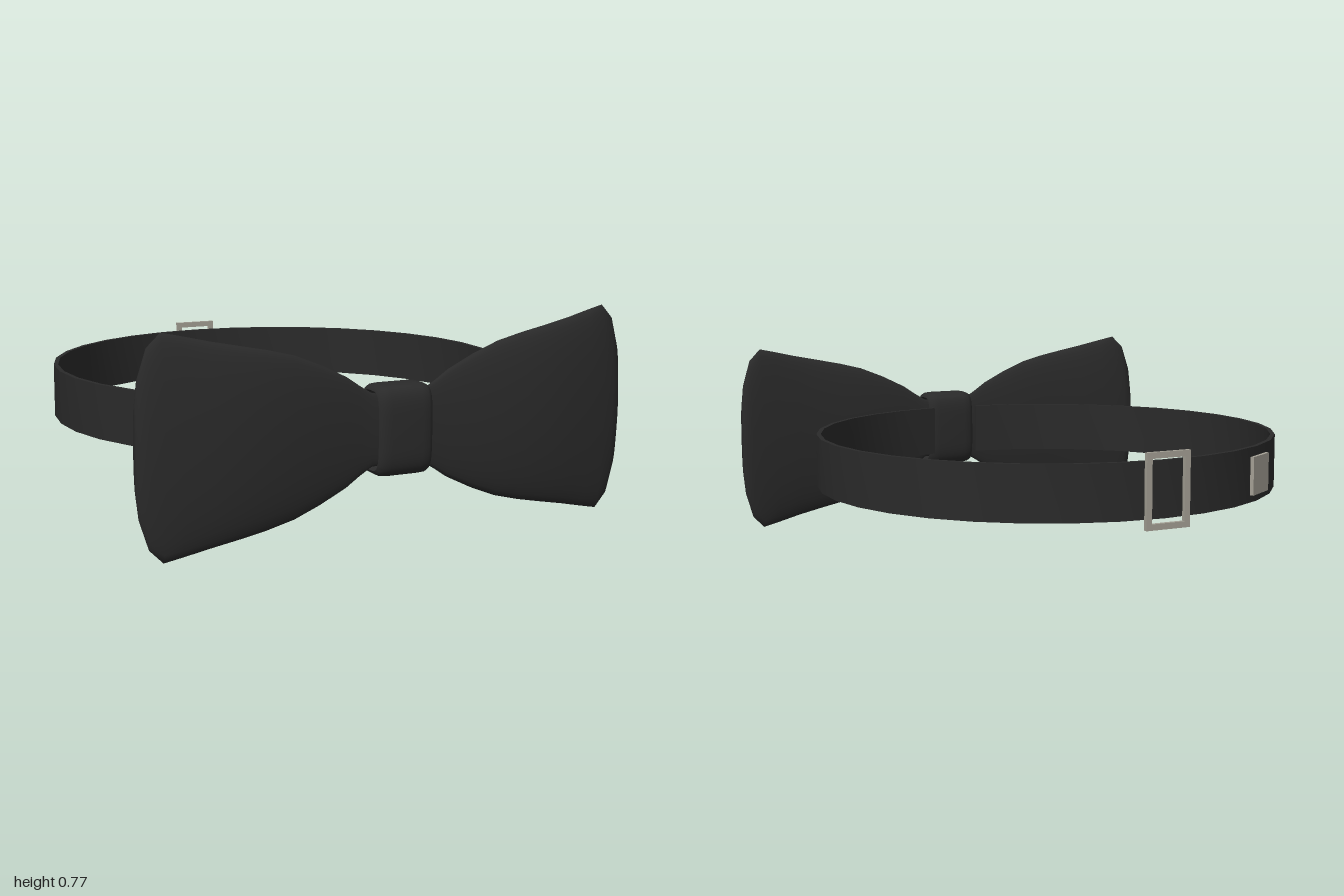
import * as THREE from 'three';
import { toCreasedNormals } from 'three/addons/utils/BufferGeometryUtils.js';

const MID_Y = 0.386;

// Skin closed rings of points; either cap both ends or join last ring to first
function loft(rings, closed) {
  const n = rings[0].length, m = rings.length;
  const points = rings.flat(), index = [];
  for (let i = 0; i < (closed ? m : m - 1); i++) {
    for (let j = 0; j < n; j++) {
      const a = i * n + j, b = i * n + (j + 1) % n;
      const c = ((i + 1) % m) * n + j, d = ((i + 1) % m) * n + (j + 1) % n;
      index.push(a, b, c, b, d, c);
    }
  }
  if (!closed) {
    const last = (m - 1) * n;
    for (let j = 1; j < n - 1; j++) {
      index.push(0, j + 1, j, last, last + j, last + j + 1);
    }
  }
  const g = new THREE.BufferGeometry().setFromPoints(points);
  g.setIndex(index);
  return toCreasedNormals(g, 0.9);
}

// Superellipse ring in the YZ plane at a given x
function ring(x, z, halfY, halfZ, power, count) {
  const pts = [];
  for (let j = 0; j < count; j++) {
    const a = (j / count) * Math.PI * 2, c = Math.cos(a), s = Math.sin(a);
    pts.push(new THREE.Vector3(
      x,
      MID_Y + halfY * Math.sign(c) * Math.abs(c) ** (2 / power),
      z + halfZ * Math.sign(s) * Math.abs(s) ** (2 / power)));
  }
  return pts;
}

export function createModel() {
  const model = new THREE.Group();
  model.name = 'bowTie';
  const fabric = new THREE.MeshStandardMaterial({ color: 0x2a2a2a });
  fabric.name = 'black fabric';
  const metal = new THREE.MeshStandardMaterial({ color: 0xa39f94 });
  metal.name = 'grey metal';

  const add = (name, geometry, material) => {
    const mesh = new THREE.Mesh(geometry, material);
    mesh.name = name;
    model.add(mesh);
    return mesh;
  };

  // Bow: x, half height, centre z, half thickness; mirrored for the other wing
  const wing = [
    [0, 0.122, 0.919, 0.013], [0.1, 0.13, 0.919, 0.014], [0.15, 0.16, 0.92, 0.018],
    [0.2, 0.194, 0.921, 0.023], [0.3, 0.243, 0.923, 0.034], [0.4, 0.283, 0.926, 0.042],
    [0.5, 0.308, 0.928, 0.047], [0.6, 0.328, 0.927, 0.048], [0.7, 0.348, 0.92, 0.047],
    [0.8, 0.371, 0.909, 0.042], [0.865, 0.385, 0.902, 0.037], [0.913, 0.337, 0.896, 0.032],
    [0.944, 0.237, 0.891, 0.025], [0.954, 0.15, 0.889, 0.016],
  ];
  const stations = [
    ...wing.slice(1).reverse().map(([x, ...rest]) => [-x, ...rest]),
    ...wing,
  ];
  add('bow', loft(stations.map(([x, h, z, t]) => ring(x, z, h, t, 2, 32)), false), fabric);

  // Knot: hollow band around the middle, with rounded side edges
  const outer = [[-0.105, 0.02], [-0.1, 0.01], [-0.085, 0.002], [-0.06, 0], [0.06, 0], [0.085, 0.002], [0.1, 0.01], [0.105, 0.02]];
  const inner = [[0.095, 0.024], [-0.095, 0.024]];
  add('knot', loft([...outer, ...inner].map(([x, inset]) =>
    ring(x, 0.916, 0.161 - inset, 0.084 - inset, 4, 40)), true), fabric);

  // Neck strap: thin open band of 32 segments
  const centreZ = -0.075, gap = 0.114, segments = 32;
  const arc = (r) => Array.from({ length: segments + 1 }, (_, i) => {
    const a = gap + (i / segments) * (Math.PI * 2 - gap * 2);
    return new THREE.Vector2(r * Math.sin(a), centreZ + r * Math.cos(a));
  });
  const band = new THREE.Shape([...arc(0.901), ...arc(0.884).reverse()]);
  const strapGeometry = new THREE.ExtrudeGeometry(band, { depth: 0.205, bevelEnabled: false });
  strapGeometry.rotateX(Math.PI / 2).translate(0, 0.489, 0);
  add('strap', toCreasedNormals(strapGeometry, 0.5), fabric);

  // Slider buckle: open rectangular frame at the back
  const rect = (T, w, h) => new T([[-w, -h], [w, -h], [w, h], [-w, h]].map(([x, y]) => new THREE.Vector2(x, y)));
  const frame = rect(THREE.Shape, 0.088, 0.136);
  frame.holes.push(rect(THREE.Path, 0.066, 0.114));
  add('buckleFrame', new THREE.ExtrudeGeometry(frame, { depth: 0.016, bevelEnabled: false }), metal)
    .position.set(0, MID_Y, -1);

  // Small clasp plate lying on the strap
  const clasp = add('claspPlate', new THREE.BoxGeometry(0.142, 0.142, 0.014), metal);
  const angle = Math.atan2(-0.49, -0.772);
  clasp.position.set(0.912 * Math.sin(angle), MID_Y, centreZ + 0.912 * Math.cos(angle));
  clasp.rotation.y = angle;

  return model;
}
